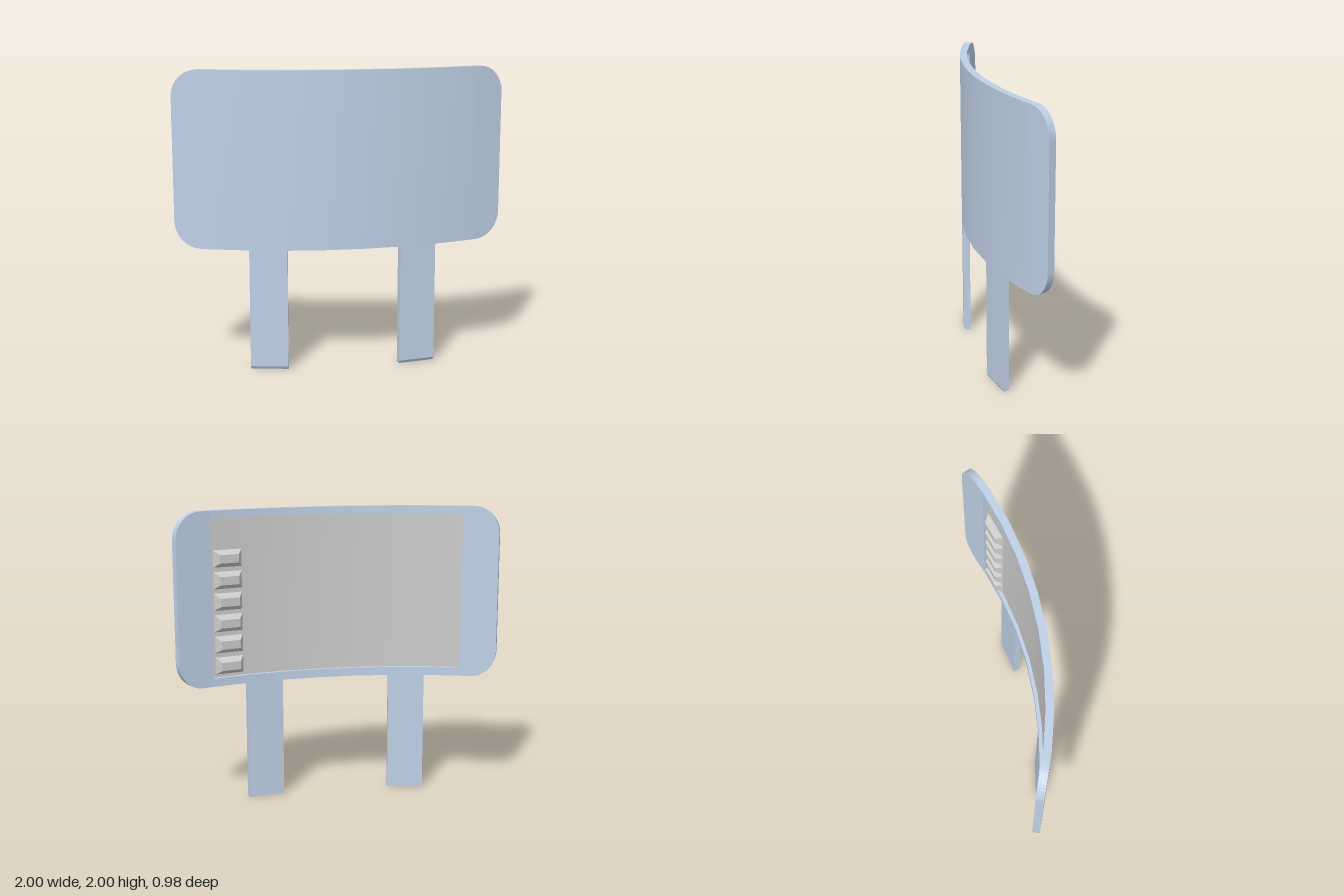
import * as THREE from 'three';
import { mergeGeometries } from 'three/addons/utils/BufferGeometryUtils.js';

// The panel follows a nine-segment arc in plan
const CX = -1.06, CZ = -2.233, RADIUS = 2.718, START = 0.022, STEP = 0.0931, SEGMENTS = 9;
const BOTTOM = 0.82, TOP = 2, THICK = 0.05, FLOOR = 0.025;
const RECESS_LOW = 0.877, RECESS_HIGH = 1.95;

// Point at u segments along the arc, height y, depth d behind the front face
function at(u, y, d) {
  const i = Math.min(Math.floor(u), SEGMENTS - 1), t = u - i, r = RADIUS - d;
  const a = START + i * STEP, b = a + STEP;
  return new THREE.Vector3(
    CX + r * THREE.MathUtils.lerp(Math.sin(a), Math.sin(b), t), y,
    CZ + r * THREE.MathUtils.lerp(Math.cos(a), Math.cos(b), t));
}

// Bands between successive curves, with sharp edges between bands
function loft(...curves) {
  const bands = [];
  for (let k = 0; k + 1 < curves.length; k++) {
    const points = [...curves[k], ...curves[k + 1]], n = curves[k].length, index = [];
    for (let i = 0; i + 1 < n; i++) index.push(i, i + 1, n + i + 1, i, n + i + 1, n + i);
    const g = new THREE.BufferGeometry().setFromPoints(points);
    g.setIndex(index);
    g.computeVertexNormals();
    bands.push(g);
  }
  return mergeGeometries(bands);
}

export function createModel() {
  const model = new THREE.Group();
  const blue = new THREE.MeshStandardMaterial({ color: 0xbed0e6 });
  const grey = new THREE.MeshStandardMaterial({ color: 0xcccccc });
  const faceted = new THREE.MeshStandardMaterial({ color: 0xcccccc, flatShading: true });
  const add = (name, geometries, material) => {
    const mesh = new THREE.Mesh(mergeGeometries(geometries), material);
    mesh.name = name;
    model.add(mesh);
  };

  // Stations along the arc, with rounded corners at both ends
  const corner = [];
  for (let k = 0; k <= 8; k++) {
    const a = (k / 8) * Math.PI / 2;
    corner.push({ u: 0.71 * (1 - Math.cos(a)), inset: 0.18 * (1 - Math.sin(a)) });
  }
  const middle = [1, 2, 3, 4, 5, 6, 7, 8].map(u => ({ u, inset: 0 }));
  const farCorner = corner.map(s => ({ u: SEGMENTS - s.u, inset: s.inset })).reverse();
  const all = [...corner, ...middle, ...farCorner];
  const low = (stations, d) => stations.map(s => at(s.u, BOTTOM + s.inset, d));
  const high = (stations, d) => stations.map(s => at(s.u, TOP - s.inset, d));
  const level = (y, d) => middle.map(s => at(s.u, y, d));

  // Vertical face across the thickness at one position u
  const wall = (u, y0, y1, d0, d1) =>
    loft([at(u, y0, d0), at(u, y0, d1)], [at(u, y1, d0), at(u, y1, d1)]);

  // Panel: front, edges, back margins and recess walls
  const nearEnd = [...corner, middle[0]], farEnd = [middle[7], ...farCorner];
  add('curvedPanel', [
    loft(low(all, 0), high(all, 0), high(all, THICK)),
    loft(low(all, THICK), low(all, 0)),
    loft(high(nearEnd, THICK), low(nearEnd, THICK)),
    loft(high(farEnd, THICK), low(farEnd, THICK)),
    loft(high(middle, THICK), level(RECESS_HIGH, THICK), level(RECESS_HIGH, FLOOR)),
    loft(level(RECESS_LOW, FLOOR), level(RECESS_LOW, THICK), low(middle, THICK)),
    wall(0, BOTTOM + 0.18, TOP - 0.18, THICK, 0),
    wall(SEGMENTS, BOTTOM + 0.18, TOP - 0.18, 0, THICK),
    wall(1, RECESS_LOW, RECESS_HIGH, FLOOR, THICK),
    wall(8, RECESS_LOW, RECESS_HIGH, THICK, FLOOR),
  ], blue);

  // Inset back surface
  add('recessedScreen', [loft(level(RECESS_HIGH, FLOOR), level(RECESS_LOW, FLOOR))], grey);

  // Flat legs, each continuing one arc segment, with a chamfered front foot
  for (const [name, u] of [['rightLeg', 2], ['leftLeg', 6]]) {
    const row = (y, d) => [at(u, y, d), at(u + 1, y, d)];
    add(name, [
      loft(row(BOTTOM, THICK), row(0, THICK), row(0, 0.012), row(0.02, 0), row(BOTTOM, 0)),
      wall(u, 0.02, BOTTOM, THICK, 0),
      wall(u + 1, 0.02, BOTTOM, 0, THICK),
      loft([at(u, 0, THICK), at(u, 0, 0.012)], [at(u, 0.02, THICK), at(u, 0.02, 0)]),
      loft([at(u + 1, 0, 0.012), at(u + 1, 0, THICK)], [at(u + 1, 0.02, 0), at(u + 1, 0.02, THICK)]),
    ], blue);
  }

  // Column of bevelled buttons on the recessed surface
  for (let k = 0; k < 6; k++) {
    const y = 0.955 + k * 0.145;
    const ring = (halfU, halfY, d) =>
      [[-1, 1], [1, 1], [1, -1], [-1, -1], [-1, 1]].map(([a, b]) => at(7.5 + a * halfU, y + b * halfY, d));
    const base = ring(0.4, 0.058, FLOOR), face = ring(0.27, 0.028, 0.068);
    add('button' + (k + 1), [loft(base, face), loft([face[0], face[1]], [face[3], face[2]])], faceted);
  }
  return model;
}
